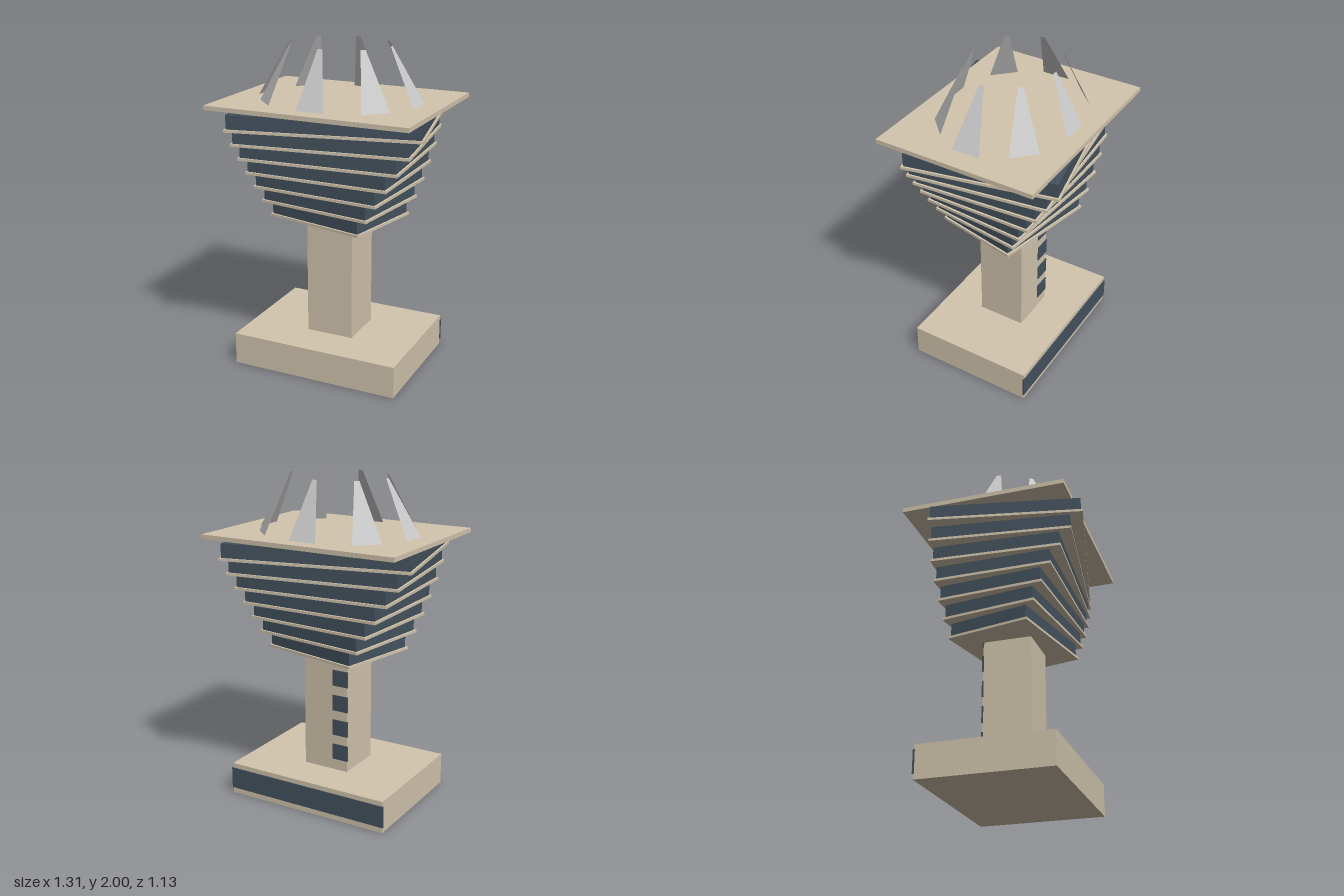
import * as THREE from 'three';

const stone = new THREE.MeshStandardMaterial({ color: 0xd2c5ae });
const glass = new THREE.MeshStandardMaterial({ color: 0x44525e });
const metal = new THREE.MeshStandardMaterial({ color: 0xcccccc, side: THREE.DoubleSide });

// Box spanning y0..y1, with its centre at x, z
function box(name, material, width, depth, y0, y1, x = 0, z = 0) {
  const mesh = new THREE.Mesh(new THREE.BoxGeometry(width, y1 - y0, depth), material);
  mesh.position.set(x, (y0 + y1) / 2, z);
  mesh.name = name;
  return mesh;
}

// Flat tapered blade leaning inwards from an ellipse on the roof
function roofFin(angle) {
  const c = Math.cos(angle), s = Math.sin(angle);
  const corner = (rx, rz, y, half) => [rx * c - half * s, y, rz * s + half * c];
  const points = [
    corner(0.5, 0.4, 1.667, 0.087), corner(0.5, 0.4, 1.667, -0.087),
    corner(0.325, 0.262, 2, -0.015), corner(0.325, 0.262, 2, 0.015),
  ];
  const geometry = new THREE.BufferGeometry();
  geometry.setAttribute('position', new THREE.Float32BufferAttribute(points.flat(), 3));
  geometry.setIndex([0, 1, 2, 0, 2, 3]);
  geometry.computeVertexNormals();
  const mesh = new THREE.Mesh(geometry, metal);
  mesh.name = 'roofFin';
  return mesh;
}

export function createModel() {
  const model = new THREE.Group();
  model.name = 'tower';

  // Base with a window strip along the back
  model.add(box('base', stone, 1.07, 0.8, 0, 0.2));
  model.add(box('baseWindow', glass, 1.08, 0.01, 0.035, 0.17, 0, -0.4));

  // Column with a row of windows up one back edge
  model.add(box('column', stone, 0.3, 0.3, 0.2, 0.94));
  for (let i = 0; i < 5; i++) {
    const y = 0.27 + i * 0.16;
    model.add(box('columnWindow', glass, 0.105, 0.01, y, y + 0.1, -0.1025, -0.15));
  }

  // Seven floors that widen and twist as they rise
  for (let i = 0; i < 7; i++) {
    const floor = new THREE.Group();
    floor.name = 'floor';
    const width = 2 * (0.32 + 0.04 * i);
    const depth = 2 * (0.256 + 0.0315 * i);
    const y = 0.94 + 0.1 * i;
    floor.add(box('floorSlab', stone, width + 0.024, depth + 0.024, y, y + 0.016));
    floor.add(box('floorGlass', glass, width, depth, y + 0.016, y + 0.1));
    floor.rotation.y = THREE.MathUtils.degToRad(4 * (i - 3));
    model.add(floor);
  }

  // Roof slab and ring of fins
  model.add(box('roof', stone, 1.27, 1.0, 1.64, 1.667));
  for (let i = 0; i < 8; i++) model.add(roofFin((i * Math.PI) / 4));

  return model;
}
